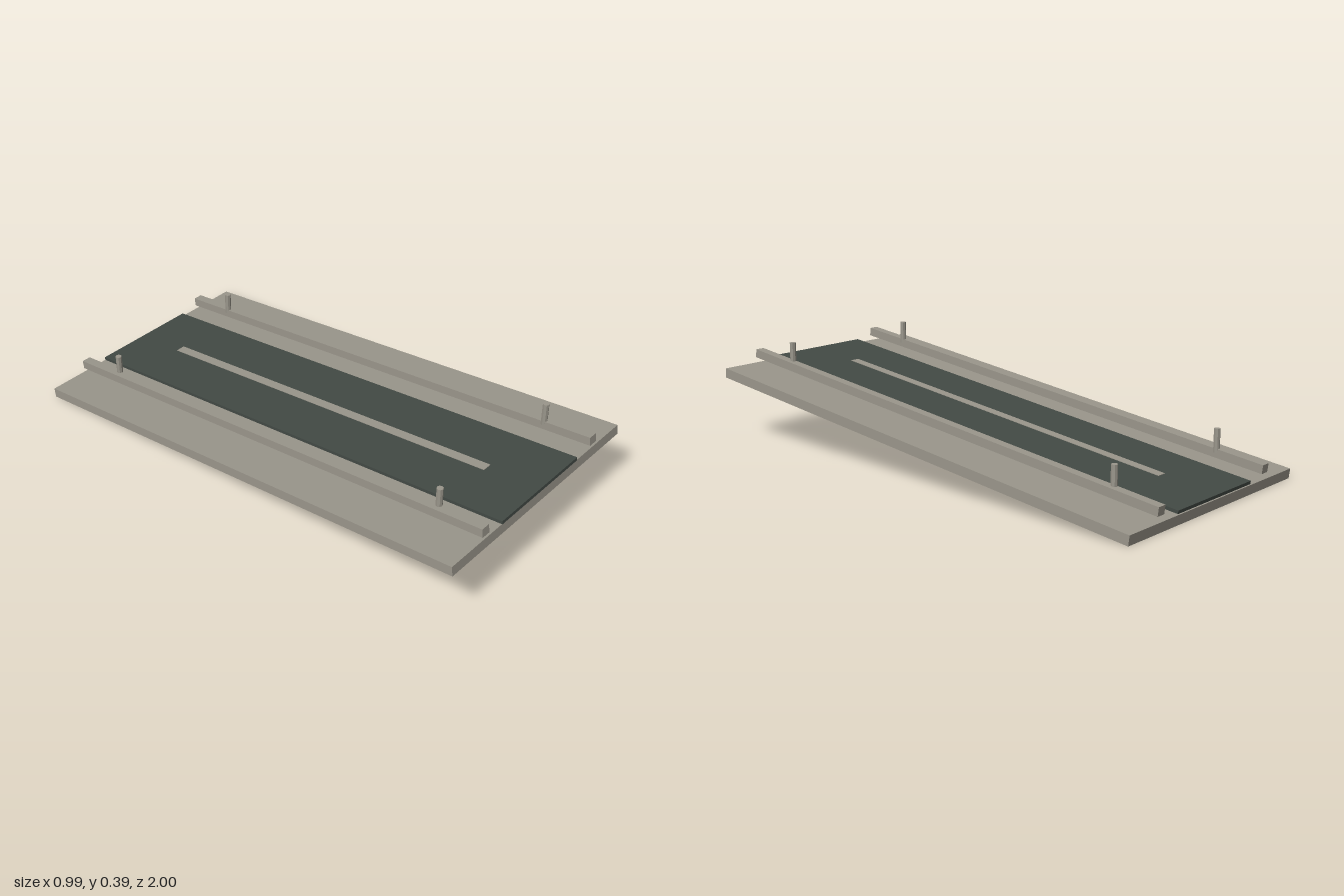
import * as THREE from 'three';

const SLOPE = 0.125; // pitch of the ramp in radians
const LENGTH = 2.011;

export function createModel() {
  const ramp = new THREE.Group();
  ramp.name = 'ramp';

  const stone = new THREE.MeshStandardMaterial({ color: 0x9a968b });
  stone.name = 'warm grey';
  const mat = new THREE.MeshStandardMaterial({ color: 0x434a45 });
  mat.name = 'dark green grey';

  const add = (name, geometry, material, x, y, z) => {
    const mesh = new THREE.Mesh(geometry, material);
    mesh.name = name;
    mesh.position.set(x, y, z);
    ramp.add(mesh);
    return mesh;
  };

  // Long boards, each pitched about its own centre so the front is raised
  const board = (name, width, thickness, length, material, x, y) => {
    const mesh = add(name, new THREE.BoxGeometry(width, thickness, length), material, x, y, 0);
    mesh.rotation.x = -SLOPE;
  };

  board('deck', 0.994, 0.038, LENGTH, stone, 0, 0.1442);
  board('runner', 0.45, 0.0125, LENGTH, mat, 0, 0.1715);
  board('centreStripe', 0.038, 0.008, 1.565, stone, 0, 0.1757);

  // Floating side rails with upright posts near both ends
  const postGeometry = new THREE.CylinderGeometry(0.0122, 0.0122, 0.09, 8).toNonIndexed();
  postGeometry.computeVertexNormals();
  for (const [label, side] of [['left', 1], ['right', -1]]) {
    board(label + 'Rail', 0.037, 0.0335, LENGTH, stone, side * 0.321, 0.2005);
    for (const [end, z] of [['Front', 0.8], ['Back', -0.8]]) {
      add(label + end + 'Post', postGeometry, stone, side * 0.311, 0.2465 + z * SLOPE, z);
    }
  }
  return ramp;
}
